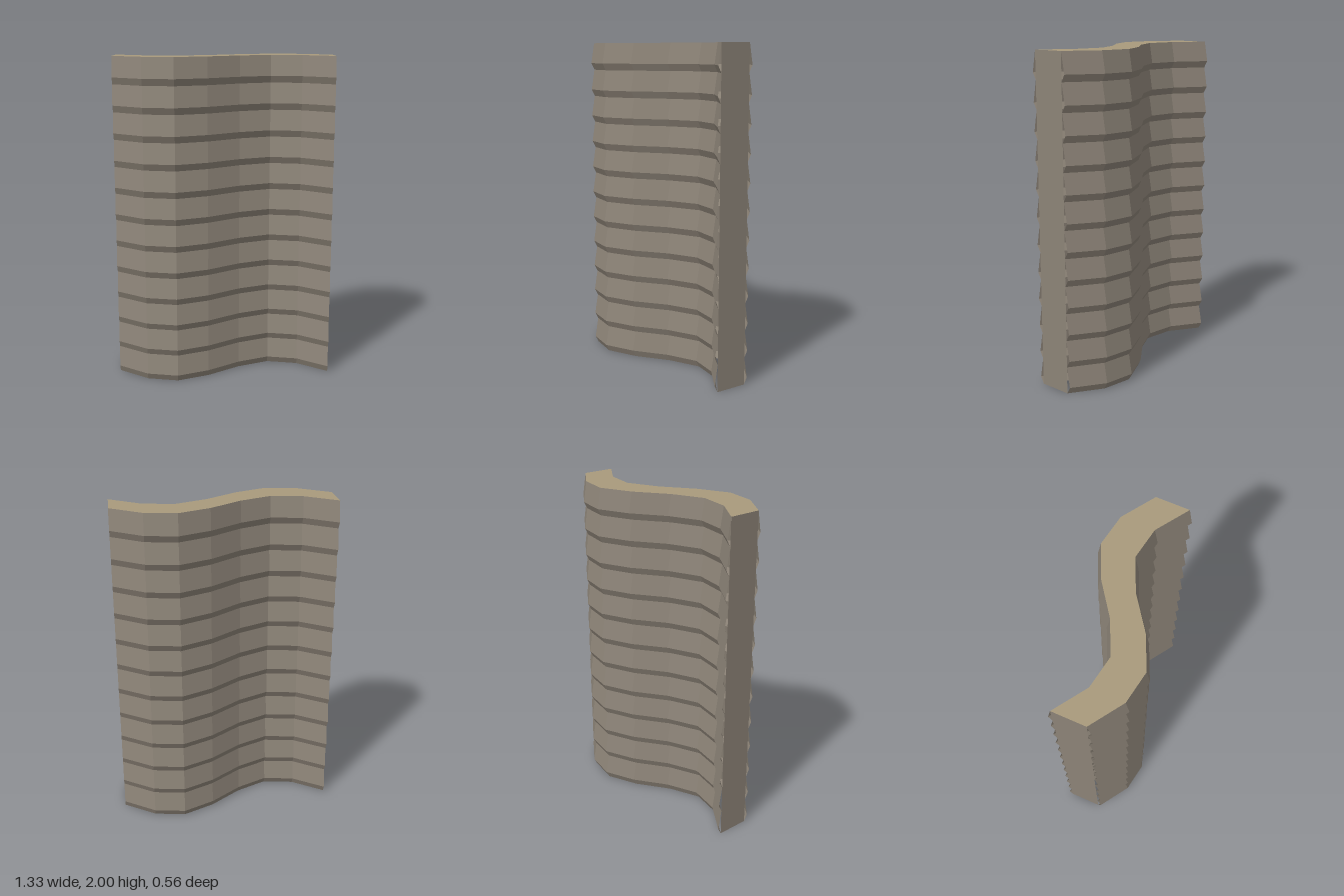
import * as THREE from 'three';

const HEIGHT = 2, HALF_WIDTH = 0.667, SEGMENTS = 7, COURSES = 12;
const INNER = 0.1, OUTER = 0.122, AMPLITUDE = 0.16;

const wallMat = new THREE.MeshStandardMaterial({ color: 0x8c8377, side: THREE.DoubleSide, flatShading: true });
const topMat = new THREE.MeshStandardMaterial({ color: 0xa89a7c, side: THREE.DoubleSide, flatShading: true });

// Plan: one full wave across the width, drawn with straight segments
const plan = [];
for (let i = 0; i <= SEGMENTS; i++) {
  const t = i / SEGMENTS;
  plan.push({ x: (2 * t - 1) * HALF_WIDTH, z: AMPLITUDE * Math.sin(2 * Math.PI * t) });
}

// Section: each course flares out over its lowest quarter, then slopes back in
const section = [];
for (let k = 0; k < COURSES; k++) {
  const pitch = HEIGHT / COURSES;
  section.push([k * pitch, INNER], [(k + 0.25) * pitch, OUTER]);
}
section.push([HEIGHT, INNER]);

// Surface spanning successive rows of points; flip reverses the facing
function loft(name, rows, material, flip = false) {
  const pos = [];
  for (let r = 0; r < rows.length - 1; r++) {
    for (let i = 0; i < rows[r].length - 1; i++) {
      const a = rows[r][i], b = rows[r][i + 1], c = rows[r + 1][i + 1], d = rows[r + 1][i];
      const corners = flip ? [a, c, b, a, d, c] : [a, b, c, a, c, d];
      corners.forEach((p) => pos.push(...p));
    }
  }
  const geo = new THREE.BufferGeometry();
  geo.setAttribute('position', new THREE.Float32BufferAttribute(pos, 3));
  geo.computeVertexNormals();
  const mesh = new THREE.Mesh(geo, material);
  mesh.name = name;
  return mesh;
}

export function createModel() {
  const group = new THREE.Group();
  group.name = 'wavyWall';

  // Row of plan points at a height, moved by an offset in z
  const row = (y, offset) => plan.map((p) => [p.x, y, p.z + offset]);

  // Ridged front and back faces
  group.add(loft('frontFace', section.map(([y, o]) => row(y, o)), wallMat));
  group.add(loft('backFace', section.map(([y, o]) => row(y, -o)), wallMat, true));

  // Flat top; the underside stays open
  group.add(loft('top', [row(HEIGHT, INNER), row(HEIGHT, -INNER)], topMat));

  // Plain end panels, narrower than the ridges
  for (const side of [-1, 1]) {
    const x = side * HALF_WIDTH;
    const edge = (y) => [[x, y, INNER], [x, y, -INNER]];
    group.add(loft(side > 0 ? 'leftEnd' : 'rightEnd', [edge(0), edge(HEIGHT)], wallMat, side < 0));
  }
  return group;
}
